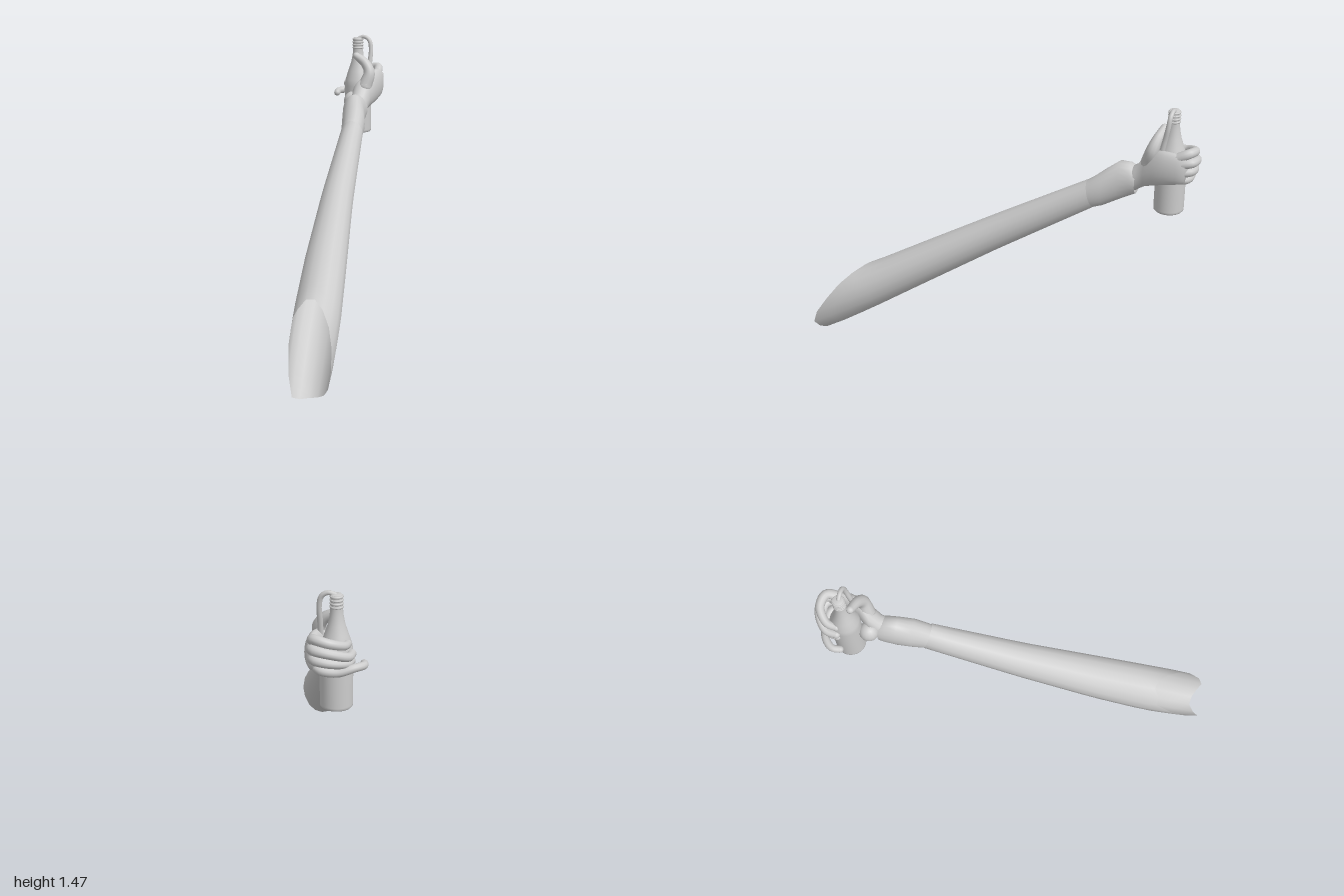
import * as THREE from 'three';

const clay = new THREE.MeshStandardMaterial({ color: 0xcccccc, side: THREE.DoubleSide });
clay.name = 'light grey';

const V = (p) => new THREE.Vector3(...p);

// Skin a list of rings (each an array of Vector3, running towards -z)
function skin(rings, cap = false) {
  const n = rings[0].length, pos = [], idx = [];
  rings.forEach((r) => r.forEach((p) => pos.push(p.x, p.y, p.z)));
  for (let i = 0; i < rings.length - 1; i++) {
    for (let j = 0; j < n; j++) {
      const k = (j + 1) % n, a = i * n + j, b = i * n + k, c = a + n, d = b + n;
      idx.push(a, c, b, b, c, d);
    }
  }
  if (cap) {
    const last = rings[rings.length - 1], s = (rings.length - 1) * n;
    const m = last.reduce((q, p) => q.add(p), new THREE.Vector3()).divideScalar(n);
    pos.push(m.x, m.y, m.z - 0.015);
    for (let j = 0; j < n; j++) idx.push(s + j, rings.length * n, s + (j + 1) % n);
  }
  const g = new THREE.BufferGeometry();
  g.setAttribute('position', new THREE.Float32BufferAttribute(pos, 3));
  g.setIndex(idx);
  g.computeVertexNormals();
  return g;
}

// Sections are [z, xMin, xMax, yMin, yMax]; returns the section interpolated at z
function sectionAt(sections, z) {
  let i = 0;
  while (i < sections.length - 2 && z < sections[i + 1][0]) i++;
  const a = sections[i], b = sections[i + 1];
  const t = (z - a[0]) / (b[0] - a[0]);
  return a.map((v, k) => v + (b[k] - v) * t);
}

function onSection([z, x0, x1, y0, y1], angle, shear = 0) {
  const s = Math.sin(angle);
  return new THREE.Vector3(
    (x0 + x1) / 2 + (x1 - x0) / 2 * Math.cos(angle),
    (y0 + y1) / 2 + (y1 - y0) / 2 * s, z + shear * s);
}

const loft = (sections, n, shear, cap) => skin(sections.map((s) =>
  Array.from({ length: n }, (_, j) => onSection(s, j / n * Math.PI * 2, shear))), cap);

// Tapered tube with rounded ends
function limb(name, points, r0, r1) {
  const group = new THREE.Group();
  group.name = name;
  const curve = new THREE.CatmullRomCurve3(points.map(V));
  const seg = 24, sides = 12;
  const g = new THREE.TubeGeometry(curve, seg, r0, sides);
  const p = g.attributes.position, v = new THREE.Vector3();
  for (let i = 0; i <= seg; i++) {
    const c = curve.getPointAt(i / seg), k = 1 + (r1 / r0 - 1) * i / seg;
    for (let j = 0; j <= sides; j++) {
      const id = i * (sides + 1) + j;
      v.fromBufferAttribute(p, id).sub(c).multiplyScalar(k).add(c);
      p.setXYZ(id, v.x, v.y, v.z);
    }
  }
  group.add(new THREE.Mesh(g, clay));
  [[points[0], r0], [points[points.length - 1], r1]].forEach(([c, r]) => {
    const ball = new THREE.Mesh(new THREE.SphereGeometry(r, 12, 8), clay);
    ball.position.set(...c);
    group.add(ball);
  });
  return group;
}

export function createModel() {
  const model = new THREE.Group();
  model.name = 'armHoldingBottle';
  const add = (name, geometry, parent = model) => {
    const m = new THREE.Mesh(geometry, clay);
    m.name = name;
    parent.add(m);
    return m;
  };

  // Sleeve: open tube with an uneven, slanted rim at the elbow
  const sleeve = [
    [1.0, 0.088, 0.3, -0.025, 0.28],
    [0.86, 0.05, 0.283, 0.05, 0.36],
    [0.69, 0.01, 0.252, 0.155, 0.43],
    [0.4, -0.037, 0.185, 0.345, 0.59],
    [0, -0.085, 0.09, 0.606, 0.811],
    [-0.5, -0.13, -0.01, 0.92, 1.085],
  ];
  const rim = [0.96, 0.9, 0.84, 0.78, 0.73, 0.72, 0.75, 0.75,
    0.83, 0.93, 0.995, 0.965, 0.94, 0.945, 0.965, 0.985];
  const rings = [];
  for (let i = 0; i <= 14; i++) {
    rings.push(rim.map((z0, j) => {
      const a = j / rim.length * Math.PI * 2;
      const hem = -0.465 + 0.02 * Math.sin(a);
      return onSection(sectionAt(sleeve, z0 + (hem - z0) * i / 14), a);
    }));
  }
  add('sleeve', skin(rings));

  // Cuff between the sleeve and the hand
  add('cuff', loft([
    [-0.4, -0.115, -0.007, 0.87, 1.02],
    [-0.47, -0.127, -0.007, 0.905, 1.07],
    [-0.53, -0.145, -0.012, 0.925, 1.12],
    [-0.6, -0.163, -0.035, 0.96, 1.172],
    [-0.655, -0.168, -0.042, 0.99, 1.168],
    [-0.69, -0.165, -0.045, 1.01, 1.15],
  ], 20, 0));

  // Hand
  const hand = new THREE.Group();
  hand.name = 'hand';
  model.add(hand);
  add('palm', loft([
    [-0.62, -0.15, -0.05, 1.0, 1.13],
    [-0.69, -0.15, -0.05, 1.03, 1.17],
    [-0.73, -0.15, -0.04, 1.06, 1.23],
    [-0.78, -0.115, -0.022, 1.085, 1.275],
    [-0.84, -0.09, -0.015, 1.105, 1.285],
    [-0.9, -0.08, -0.015, 1.12, 1.285],
    [-0.94, -0.075, -0.028, 1.135, 1.275],
  ], 20, 0, true), hand);
  const heel = add('heelOfHand', new THREE.SphereGeometry(1, 16, 12), hand);
  heel.scale.set(0.05, 0.055, 0.05);
  heel.position.set(-0.148, 1.115, -0.735);
  hand.add(
    limb('thumb', [[-0.08, 1.2, -0.75], [-0.062, 1.275, -0.77], [-0.09, 1.325, -0.785], [-0.148, 1.363, -0.8]], 0.04, 0.02),
    limb('indexFinger', [[-0.05, 1.25, -0.88], [-0.065, 1.285, -0.95], [-0.13, 1.275, -0.965], [-0.195, 1.25, -0.92], [-0.205, 1.24, -0.87]], 0.026, 0.019),
    limb('middleFinger', [[-0.045, 1.225, -0.89], [-0.065, 1.24, -0.965], [-0.14, 1.228, -0.973], [-0.215, 1.2, -0.925], [-0.225, 1.195, -0.87]], 0.026, 0.02),
    limb('ringFinger', [[-0.045, 1.18, -0.89], [-0.07, 1.19, -0.96], [-0.14, 1.18, -0.965], [-0.21, 1.165, -0.92], [-0.222, 1.16, -0.87]], 0.025, 0.019),
    limb('littleFinger', [[-0.05, 1.145, -0.88], [-0.09, 1.135, -0.94], [-0.17, 1.13, -0.945], [-0.24, 1.148, -0.925], [-0.28, 1.147, -0.885], [-0.277, 1.14, -0.845]], 0.023, 0.018),
  );

  // Bottle with a ribbed neck
  const bottle = new THREE.Group();
  bottle.name = 'bottle';
  bottle.position.set(-0.152, 0, -0.845);
  model.add(bottle);
  const profile = [[0, 0.925], [0.07, 0.925], [0.0755, 0.931], [0.0755, 0.94], [0.0755, 1.19],
    [0.071, 1.225], [0.055, 1.275], [0.04, 1.32], [0.031, 1.365], [0.028, 1.4],
    [0.028, 1.455], [0.024, 1.463], [0, 1.463]];
  add('bottleBody', new THREE.LatheGeometry(profile.map((p) => new THREE.Vector2(...p)), 32), bottle);
  for (let i = 0; i < 4; i++) {
    const rib = add('neckRib', new THREE.TorusGeometry(0.026, 0.006, 8, 24), bottle);
    rib.rotation.x = Math.PI / 2;
    rib.position.y = 1.405 + i * 0.016;
  }

  // Curved strap from the bottle top down to the hand
  model.add(limb('strap', [[-0.145, 1.46, -0.845], [-0.115, 1.468, -0.845], [-0.085, 1.45, -0.843],
    [-0.073, 1.4, -0.838], [-0.075, 1.33, -0.825], [-0.075, 1.25, -0.81]], 0.011, 0.014));

  return model;
}
